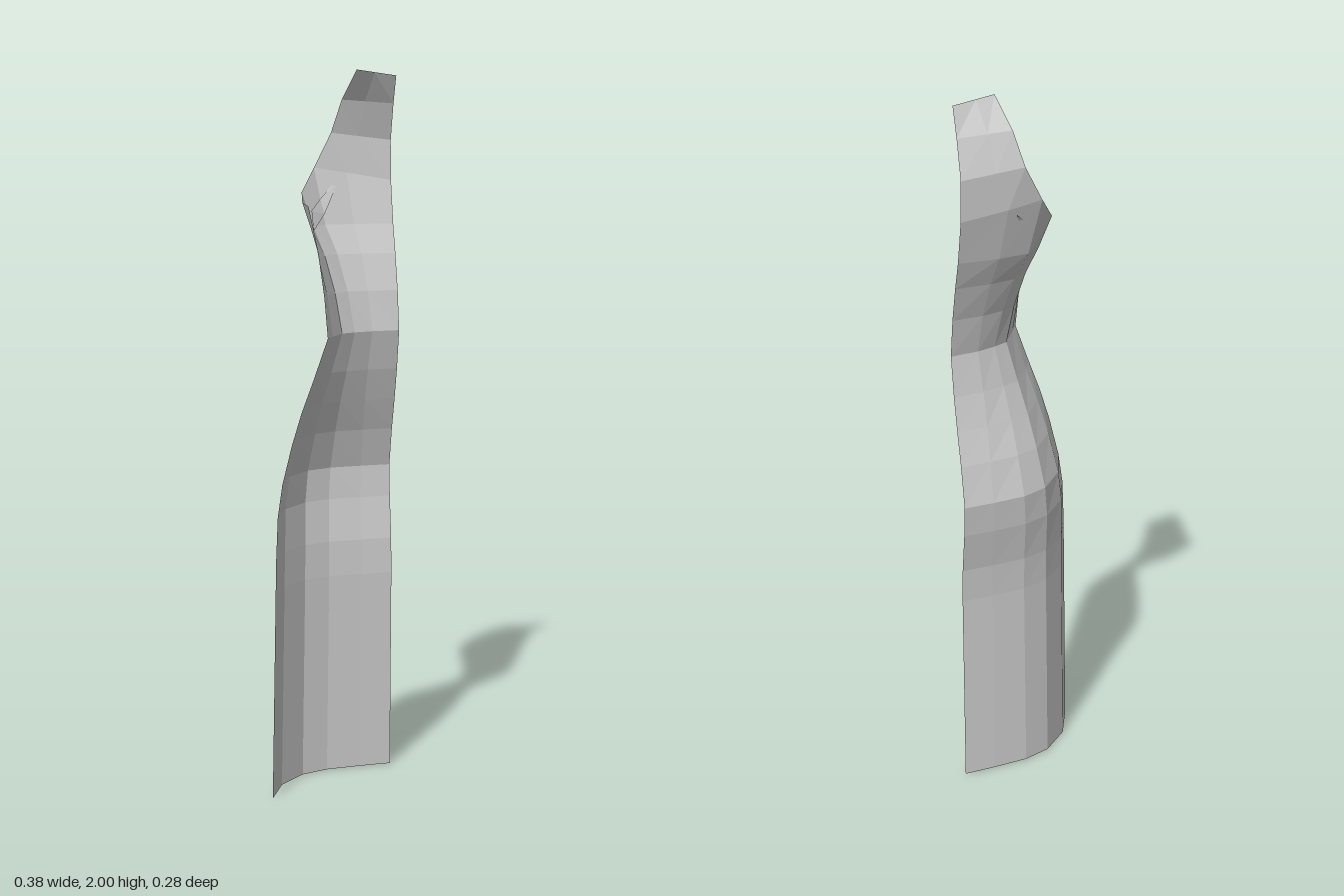
import * as THREE from 'three';

const BACK_X = 0.19; // centre back seam
const lerp = THREE.MathUtils.lerp;

// Panel outlines from side seam (0) to centre back (1): skirt, waist, armhole
const PROFILES = [
  { u: [0, 0.11, 0.3, 0.5, 0.76, 1], v: [0, 0.46, 0.79, 0.92, 0.97, 1] },
  { u: [0, 0.09, 0.26, 0.43, 0.66, 1], v: [0, 0.24, 0.67, 0.8, 0.92, 1] },
  { u: [0, 0, 0.05, 0.21, 0.55, 1], v: [0, 0.37, 0.73, 0.95, 1, 1] },
];

// y, side seam x, side seam z, centre back z, profile blend
const ROWS = [
  [0, -0.193, 0.11, -0.107, 0],
  [0.58, -0.182, 0.11, -0.101, 0],
  [0.68, -0.18, 0.11, -0.106, 0],
  [0.8, -0.175, 0.11, -0.127, 0],
  [0.89, -0.163, 0.115, -0.135, 0],
  [1.0, -0.138, 0.125, -0.105, 0.2],
  [1.09, -0.112, 0.132, -0.073, 0.5],
  [1.18, -0.08, 0.138, -0.045, 0.8],
  [1.29, -0.042, 0.14, -0.021, 1],
  [1.4, -0.05, 0.132, -0.042, 1.2],
  [1.5, -0.063, 0.125, -0.073, 1.45],
  [1.58, -0.077, 0.121, -0.103, 1.75],
];
const ARMHOLE = [-0.09, 0.12, -0.134, 2];
const ARMHOLE_Y = [1.64, 1.645, 1.67, 1.735, 1.72, 1.7];

// y and z at the armhole edge, then y and z at the centre back
const STRAP = [
  [0.02, 1.83, -0.139, 1.81, -0.14],
  [0.045, 1.92, -0.112, 1.91, -0.108],
  [0.075, 2.0, -0.055, 1.985, -0.075],
];

function section(y, [sideX, sideZ, backZ, blend]) {
  const i = Math.min(Math.floor(blend), 1);
  const a = PROFILES[i], b = PROFILES[i + 1], t = blend - i;
  return a.u.map((_, c) => [
    lerp(sideX, BACK_X, lerp(a.u[c], b.u[c], t)),
    Array.isArray(y) ? y[c] : y,
    lerp(sideZ, backZ, lerp(a.v[c], b.v[c], t)),
  ]);
}

// Joins equal-length rows of points into a surface facing outward
function loft(name, rows) {
  const n = rows[0].length, index = [];
  for (let r = 0; r < rows.length - 1; r++) {
    for (let c = 0; c < n - 1; c++) {
      const a = r * n + c;
      index.push(a, a + n, a + 1, a + 1, a + n, a + n + 1);
    }
  }
  const geo = new THREE.BufferGeometry();
  geo.setAttribute('position', new THREE.Float32BufferAttribute(rows.flat(2), 3));
  geo.setIndex(index);
  geo.computeVertexNormals();
  const mesh = new THREE.Mesh(geo, new THREE.MeshStandardMaterial({
    color: 0xcccccc, flatShading: true, side: THREE.DoubleSide,
  }));
  mesh.name = name;
  return mesh;
}

export function createModel() {
  const group = new THREE.Group();
  group.name = 'dressBackPanel';

  const waist = ROWS.findIndex((r) => r[0] === 1.29);
  const sections = ROWS.map(([y, ...shape]) => section(y, shape));
  const armhole = section(ARMHOLE_Y, ARMHOLE);

  // Skirt from hem to waist, bodice from waist to armhole
  group.add(loft('skirt', sections.slice(0, waist + 1)));
  group.add(loft('bodice', [...sections.slice(waist), armhole]));

  // Shoulder strap continues the three columns nearest the centre back
  const strapRows = STRAP.map(([x, y, z, backY, backZ]) => [0, 0.45, 1].map((t) => [
    lerp(x, BACK_X, t), lerp(y, backY, t), lerp(z, backZ, t),
  ]));
  group.add(loft('shoulderStrap', [armhole.slice(3), ...strapRows]));

  // Small creases of cloth below the armhole
  group.add(loft('armholeFold', [
    [[-0.05, 1.565, -0.025], [-0.01, 1.61, -0.075], [0.04, 1.7, -0.128]],
    [[-0.052, 1.62, -0.045], [-0.02, 1.65, -0.09], [0.04, 1.705, -0.132]],
  ]));
  return group;
}
